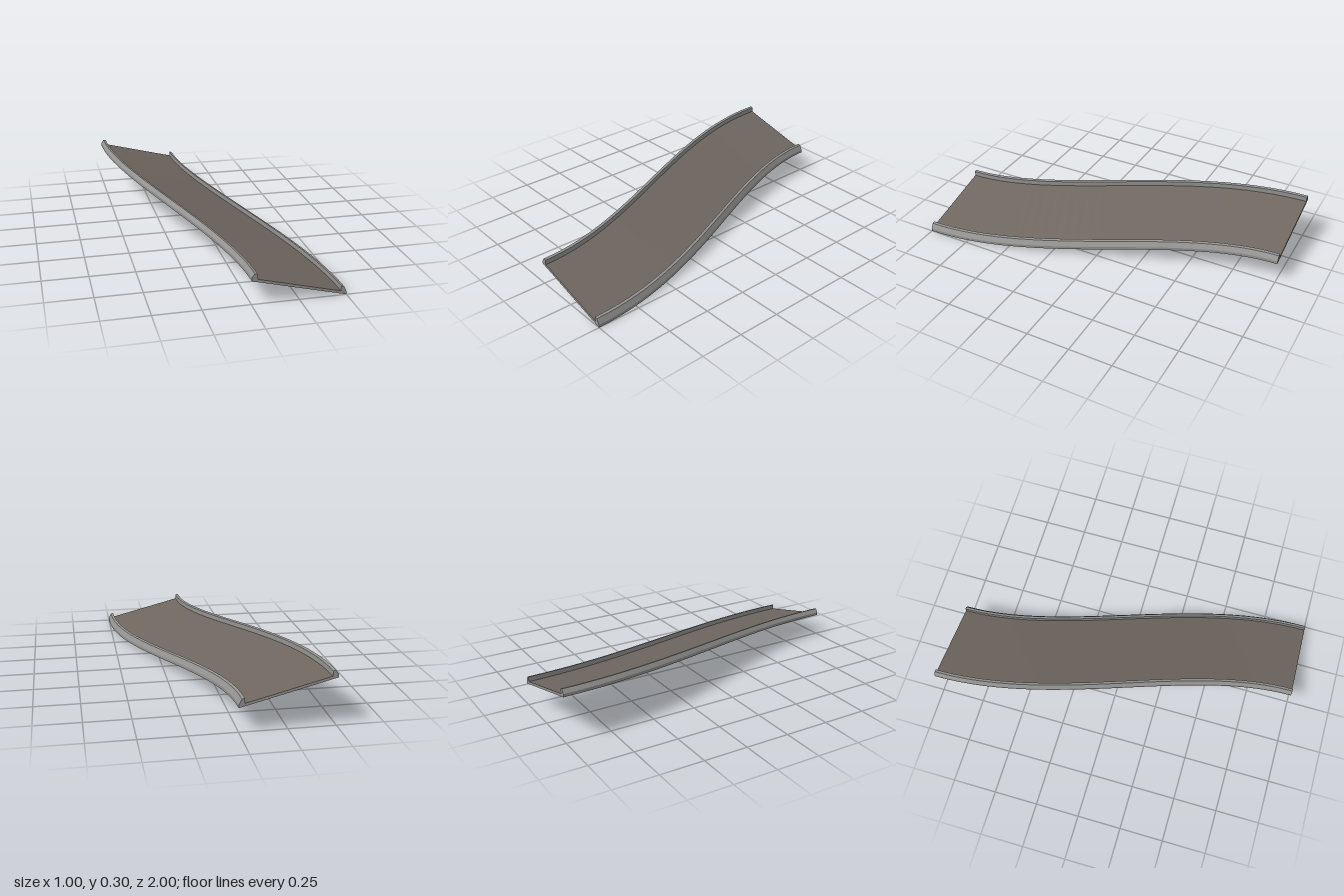
import * as THREE from 'three';
import { mergeGeometries } from 'three/addons/utils/BufferGeometryUtils.js';

const SEGMENTS = 32;
const BANK = 0.256; // drop per unit of sideways offset

// Point at t along the S-curve, u sideways across the track and h above its underside
function trackPoint(t, u, h) {
  const x = -0.25 + 0.5 * t * t * (3 - 2 * t);
  const slope = 1.5 * t * (1 - t); // dx/dz
  const len = Math.hypot(1, slope);
  return [x + u / len, 0.128 - BANK * (x + u) + h, -1 + 2 * t - (u * slope) / len];
}

function makeGeometry(positions, indices) {
  const g = new THREE.BufferGeometry();
  g.setAttribute('position', new THREE.Float32BufferAttribute(positions, 3));
  g.setIndex(indices);
  g.computeVertexNormals();
  return g;
}

// One side of the profile swept along the track: smooth lengthways, sharp at its edges
function strip(a, b) {
  const positions = [], indices = [];
  for (let i = 0; i <= SEGMENTS; i++) {
    const t = i / SEGMENTS;
    positions.push(...trackPoint(t, ...a), ...trackPoint(t, ...b));
    if (i < SEGMENTS) {
      const k = 2 * i;
      indices.push(k, k + 1, k + 3, k, k + 3, k + 2);
    }
  }
  return makeGeometry(positions, indices);
}

// Flat end face of a profile
function cap(profile, t) {
  const faces = THREE.ShapeUtils.triangulateShape(profile.map((p) => new THREE.Vector2(...p)), []);
  const indices = faces.flatMap(([a, b, c]) => (t === 1 ? [a, b, c] : [a, c, b]));
  return makeGeometry(profile.flatMap((p) => trackPoint(t, ...p)), indices);
}

// Closed counter-clockwise profile swept along the track; skip lists sides left open
function sweep(profile, skip = []) {
  const sides = profile
    .map((p, i) => [p, profile[(i + 1) % profile.length]])
    .filter((_, i) => !skip.includes(i))
    .map(([a, b]) => strip(a, b));
  return mergeGeometries([...sides, cap(profile, 0), cap(profile, 1)]);
}

export function createModel() {
  const concrete = new THREE.MeshStandardMaterial({ color: 0x949392 });
  concrete.name = 'concrete grey';
  const asphalt = new THREE.MeshStandardMaterial({ color: 0x6e665f });
  asphalt.name = 'road brown';

  const model = new THREE.Group();
  model.name = 'bankedRoad';
  const add = (name, geometry, material) => {
    const mesh = new THREE.Mesh(geometry, material);
    mesh.name = name;
    model.add(mesh);
  };

  // Slab under the road, its top closed by the road surface
  const slab = [[-0.22, 0], [0.22, 0], [0.22, 0.015], [-0.22, 0.015]];
  add('roadSlab', sweep(slab, [1, 2, 3]), concrete);
  add('roadSurface', strip(slab[2], slab[3]), asphalt);

  // Kerbs with a bevelled outer face
  const kerb = [[0.22, 0], [0.25, 0], [0.25, 0.017], [0.235, 0.043], [0.22, 0.043]];
  add('leftKerb', sweep(kerb), concrete);
  add('rightKerb', sweep(kerb.map(([u, h]) => [-u, h]).reverse()), concrete);

  return model;
}
